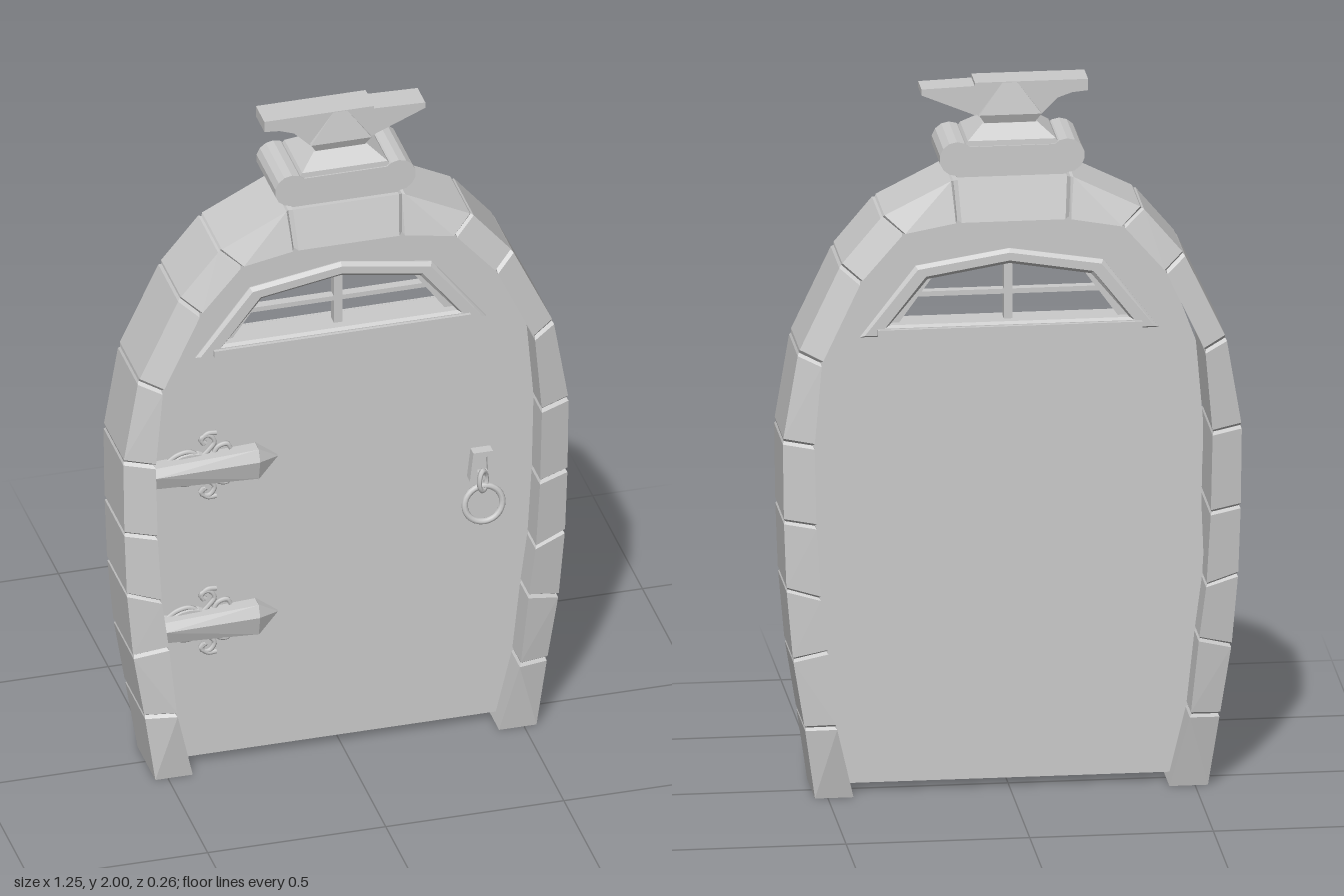
import * as THREE from 'three';
import { ConvexGeometry } from 'three/addons/geometries/ConvexGeometry.js';

const V = (x, y, z) => new THREE.Vector3(x, y, z);
const flat = new THREE.MeshStandardMaterial({ color: 0xcccccc, flatShading: true });
const smooth = new THREE.MeshStandardMaterial({ color: 0xcccccc });

function add(parent, name, geometry, material = flat) {
  const mesh = new THREE.Mesh(geometry, material);
  mesh.name = name;
  parent.add(mesh);
  return mesh;
}

const outline = (pts) => pts.map(([x, y]) => new THREE.Vector2(x, y));
// closes a right-half outline (listed from the bottom up) with its mirror image
const mirrored = (half) => [...half, ...half.filter(([x]) => x !== 0).reverse().map(([x, y]) => [-x, y])];

function slab(pts, hole, back, front, bevel = 0) {
  const shape = new THREE.Shape(outline(pts));
  if (hole) shape.holes.push(new THREE.Path(outline(hole)));
  const g = new THREE.ExtrudeGeometry(shape, {
    depth: front - back - 2 * bevel, bevelEnabled: bevel > 0, bevelSize: bevel,
    bevelThickness: bevel, bevelSegments: 1, curveSegments: 12,
  });
  return g.translate(0, 0, back + bevel);
}

// tapered block between two rectangles, each [y, halfWidth, halfDepth]
function frustum([y0, w0, d0], [y1, w1, d1]) {
  const pts = [];
  for (const sx of [-1, 1]) for (const sz of [-1, 1]) {
    pts.push(V(sx * w0, y0, sz * d0), V(sx * w1, y1, sz * d1));
  }
  return new ConvexGeometry(pts);
}

// arch joints: outer x, y, inner x, y
const joints = [
  [0.535, 0, 0.43, 0], [0.565, 0.205, 0.482, 0.215], [0.597, 0.4, 0.505, 0.43],
  [0.615, 0.6, 0.525, 0.58], [0.622, 0.793, 0.537, 0.785], [0.625, 1.02, 0.542, 1.012],
  [0.583, 1.27, 0.522, 1.245], [0.467, 1.515, 0.415, 1.473], [0.355, 1.648, 0.3, 1.605],
  [0.16, 1.745, 0.152, 1.632],
];

function section([ox, oy, ix, iy], side) {
  const base = oy === 0;
  const f = base ? 0.1 : 0.13, b = base ? -0.08 : -0.13;
  return [V(side * ox, oy, 0.1), V(side * ox, oy, base ? -0.08 : -0.1), V(side * ix, iy, b), V(side * ix, iy, f)];
}

// one stone with slightly chamfered ends, so that a notch shows at each joint
function stone(a, b) {
  const pts = [];
  for (const [from, to] of [[a, b], [b, a]]) {
    const mid = from.reduce((s, p) => s.add(p), V(0, 0, 0)).multiplyScalar(0.25);
    from.forEach((p, i) => {
      pts.push(p.clone().lerp(to[i], 0.035));
      pts.push(from[0].y === 0 ? p.clone() : p.clone().lerp(mid, 0.09));
    });
  }
  return new ConvexGeometry(pts);
}

function buildArch(root) {
  const arch = new THREE.Group();
  arch.name = 'stoneArch';
  for (const side of [-1, 1]) {
    for (let i = 0; i < joints.length - 1; i++) {
      add(arch, 'archStone', stone(section(joints[i], side), section(joints[i + 1], side)));
    }
  }
  const top = joints[joints.length - 1];
  add(arch, 'keystone', stone(section(top, -1), section(top, 1)));
  root.add(arch);
}

function buildDoor(root) {
  const door = new THREE.Group();
  door.name = 'door';
  // panel tucks into the arch on the right and leaves a slit on the hinge side
  const right = [[0.44, 0.025], ...joints.slice(1).map(([, , x, y]) => [x + 0.006, y + (y > 1.4 ? 0.008 : 0)])];
  const left = right.map(([x, y]) => [-(x - (y > 0.7 && y < 1.3 ? 0.02 : 0)), y]).reverse();
  const win = mirrored([[0.365, 1.3], [0.24, 1.467], [0, 1.507]]);
  add(door, 'doorPanel', slab([...right, ...left], win, -0.03, 0.045));

  // window: bevelled casing, inner sash and glazing bars
  const casing = mirrored([[0.395, 1.293], [0.25, 1.475], [0, 1.515]]);
  const opening = mirrored([[0.34, 1.312], [0.228, 1.455], [0, 1.493]]);
  add(door, 'windowCasing', slab(casing, opening, -0.042, 0.058, 0.01));
  const light = mirrored([[0.3, 1.315], [0.205, 1.447], [0, 1.484]]);
  add(door, 'windowSash', slab(win, light, -0.01, 0.025));
  add(door, 'mullion', new THREE.BoxGeometry(0.024, 0.19, 0.03).translate(0, 1.4, 0.008));
  add(door, 'glazingBar', new THREE.BoxGeometry(0.5, 0.014, 0.026).translate(0, 1.395, 0.008));
  add(door, 'windowSill', new THREE.BoxGeometry(0.72, 0.02, 0.12).translate(0, 1.3, 0.008));
  root.add(door);
}

// pointed strap with scrollwork, centred on height y
function buildHinge(root, x0, y) {
  const hinge = new THREE.Group();
  hinge.name = 'strapHinge';
  const profile = [[-1, 0.03], [-1, 0.083], [0.3, 0.098], [1, 0.083], [1, 0.03]];
  const ring = (x, h) => profile.map(([t, z]) => V(x, t * h, z));
  add(hinge, 'strap', new ConvexGeometry([...ring(x0, 0.032), ...ring(-0.24, 0.046)]));
  add(hinge, 'strapPoint', new ConvexGeometry([...ring(-0.24, 0.048), V(-0.178, 0, 0.055), V(-0.178, 0, 0.035)]));
  const curls = [
    [[-0.39, 0.03], [-0.37, 0.05], [-0.355, 0.072], [-0.372, 0.095], [-0.395, 0.085], [-0.385, 0.068]],
    [[-0.36, 0.03], [-0.345, 0.055], [-0.32, 0.06], [-0.31, 0.045]],
    [[-0.35, 0.1], [-0.375, 0.1], [-0.392, 0.082], [-0.38, 0.07]],
    [[-0.49, 0.025], [-0.46, 0.045], [-0.425, 0.05], [-0.4, 0.03], [-0.42, 0.02]],
  ];
  for (const s of [-1, 1]) {
    for (const c of curls) {
      const path = new THREE.CatmullRomCurve3(c.map(([x, cy]) => V(x, s * cy, 0.05)));
      add(hinge, 'hingeScroll', new THREE.TubeGeometry(path, 16, 0.007, 6), smooth);
    }
  }
  const plate = new THREE.CylinderGeometry(0.045, 0.05, 0.02, 16).rotateX(Math.PI / 2);
  add(hinge, 'hingePlate', plate.scale(1.4, 1, 1).translate(-0.425, 0, 0.05));
  hinge.position.y = y;
  root.add(hinge);
}

function buildHandle(root) {
  const handle = new THREE.Group();
  handle.name = 'ringHandle';
  const plate = [[0.355, 0.785], [0.425, 0.785], [0.42, 0.872], [0.365, 0.872]];
  const slot = [[0.376, 0.81], [0.406, 0.81], [0.404, 0.856], [0.38, 0.856]];
  add(handle, 'handlePlate', slab(plate, null, 0.035, 0.06));
  add(handle, 'handlePlateRim', slab(plate, slot, 0.05, 0.075));
  add(handle, 'handleStaple', new THREE.TorusGeometry(0.025, 0.008, 6, 14).scale(0.6, 1.2, 1).rotateY(0.6).translate(0.39, 0.785, 0.08), smooth);
  add(handle, 'pullRing', new THREE.TorusGeometry(0.053, 0.009, 8, 28).rotateX(-0.12).translate(0.392, 0.713, 0.08), smooth);
  root.add(handle);
}

function buildAnvil(root) {
  const anvil = new THREE.Group();
  anvil.name = 'anvilFinial';
  // plinth with a rounded scroll at each end
  add(anvil, 'plinth', new THREE.BoxGeometry(0.3, 0.085, 0.19).translate(0, 1.7925, 0));
  for (const s of [-1, 1]) {
    add(anvil, 'plinthScroll', new THREE.CylinderGeometry(0.048, 0.048, 0.19, 14).rotateX(Math.PI / 2).translate(s * 0.15, 1.802, 0));
  }
  // foot, waist and body
  add(anvil, 'footBase', frustum([1.82, 0.14, 0.092], [1.85, 0.12, 0.09]));
  add(anvil, 'foot', frustum([1.85, 0.12, 0.09], [1.885, 0.075, 0.045]));
  add(anvil, 'waist', frustum([1.88, 0.066, 0.042], [1.91, 0.085, 0.055]));
  add(anvil, 'body', frustum([1.91, 0.085, 0.055], [1.998, 0.02, 0.043]));
  // heel with a curved underside, and the horn
  const heel = [[-0.213, 2], [-0.213, 1.968], [-0.17, 1.964], [-0.13, 1.95], [-0.105, 1.925], [-0.085, 1.905], [0.085, 1.905], [0.095, 1.915], [0.095, 2]];
  add(anvil, 'face', slab(heel, null, -0.043, 0.043));
  const horn = [[0.09, 1.905], [0.24, 1.968], [0.24, 1.985], [0.09, 1.99]];
  add(anvil, 'horn', slab(horn, null, -0.039, 0.039));
  root.add(anvil);
}

export function createModel() {
  const root = new THREE.Group();
  root.name = 'archedDoor';
  buildArch(root);
  buildDoor(root);
  buildHinge(root, -0.535, 0.943);
  buildHinge(root, -0.505, 0.45);
  buildHandle(root);
  buildAnvil(root);
  return root;
}
